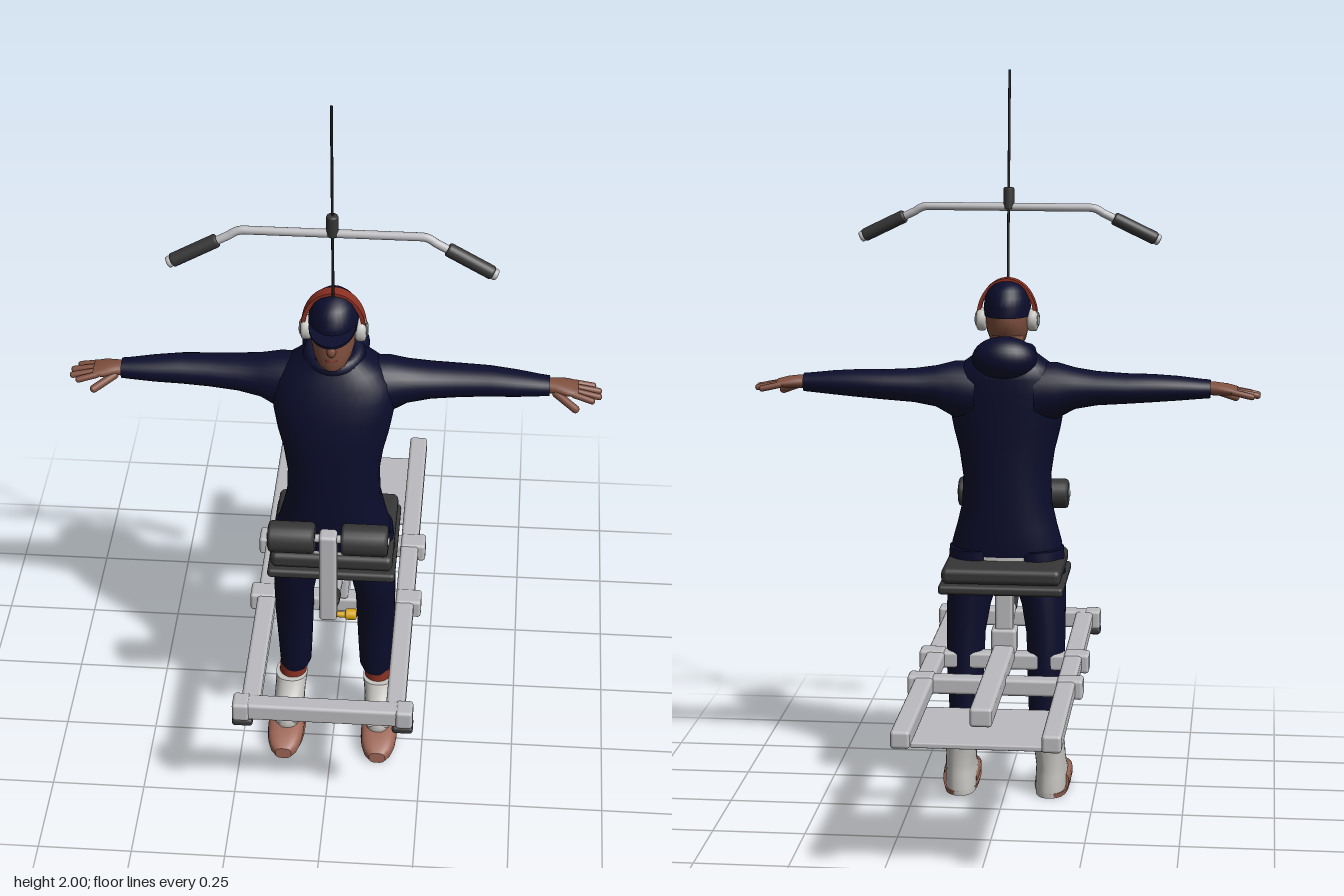
import * as THREE from 'three';
import { RoundedBoxGeometry } from 'three/addons/geometries/RoundedBoxGeometry.js';

const paint = (name, color) => {
  const m = new THREE.MeshStandardMaterial({ color });
  m.name = name;
  return m;
};
const V = (x, y, z) => new THREE.Vector3(x, y, z);

// Skin over elliptical rings along an axis; rows are [t, centre1, radius1, centre2, radius2].
// Rings lie in (x,z) for axis y, (y,z) for axis x and (x,y) for axis z.
function loft(axis, rows, e = 1, n = 28) {
  if (rows[0][0] > rows[rows.length - 1][0]) rows = [...rows].reverse();
  const first = rows[0], last = rows[rows.length - 1];
  const cap = r => [r[0], r[1], 0, r[3], 0];
  const rings = [cap(first), first, ...rows, last, cap(last)];
  const pow = v => Math.sign(v) * Math.abs(v) ** e;
  const pos = [], idx = [];
  rings.forEach(([t, c1, r1, c2, r2], i) => {
    for (let j = 0; j < n; j++) {
      const a = j / n * Math.PI * 2;
      const u = c1 + r1 * pow(Math.cos(a));
      const v = c2 + r2 * pow(Math.sin(a)) * (axis === 'y' ? 1 : -1);
      pos.push(...(axis === 'y' ? [u, t, v] : axis === 'x' ? [t, u, v] : [u, v, t]));
      if (i === 0 || i === 2 || i === rings.length - 2) continue;
    }
  });
  // Rings 1 and 2 (and the last pair) coincide, which keeps the cap edges crisp.
  for (let i = 0; i < rings.length - 1; i++) {
    if (i === 1 || i === rings.length - 3) continue;
    for (let j = 0; j < n; j++) {
      const k = (j + 1) % n, a = i * n + j, b = i * n + k, c = a + n, d = b + n;
      idx.push(a, c, b, b, c, d);
    }
  }
  const g = new THREE.BufferGeometry();
  g.setAttribute('position', new THREE.Float32BufferAttribute(pos, 3));
  g.setIndex(idx);
  g.computeVertexNormals();
  return g;
}

export function createModel() {
  const model = new THREE.Group();
  const metal = paint('light grey metal', 0xbcbcc0), pad = paint('dark padding', 0x363636);
  const navy = paint('navy cloth', 0x0b0d2c), skin = paint('skin', 0x80503f);
  const white = paint('off white', 0xc6c4c0), tan = paint('shoe brown', 0x9c6656);
  const red = paint('red', 0x8c3022), yellow = paint('yellow', 0xd6a312);
  const black = paint('black', 0x1c1c1e);

  const add = (name, geo, mat, p = [0, 0, 0], parent = model) => {
    const m = new THREE.Mesh(geo, mat);
    m.name = name;
    m.position.set(...p);
    parent.add(m);
    return m;
  };
  const box = (name, mat, size, p, r = 0.009) =>
    add(name, new RoundedBoxGeometry(...size, 3, Math.min(r, Math.min(...size) * 0.45)), mat, p);
  // Straight bar between two points, with softened ends
  const rod = (name, mat, a, b, r, soft = r * 0.3) => {
    const h = a.distanceTo(b) / 2;
    const prof = [[0, -h], [r - soft, -h], [r - soft * 0.3, -h + soft * 0.3], [r, -h + soft],
      [r, h - soft], [r - soft * 0.3, h - soft * 0.3], [r - soft, h], [0, h]];
    const m = add(name, new THREE.LatheGeometry(prof.map(q => new THREE.Vector2(...q)), 24), mat);
    m.position.copy(a).add(b).multiplyScalar(0.5);
    m.quaternion.setFromUnitVectors(V(0, 1, 0), b.clone().sub(a).normalize());
    return m;
  };

  // Bench frame
  box('frontCrossbar', metal, [0.45, 0.05, 0.05], [0, 0.39, 0.593]);
  for (const z of [0.13, -0.122]) box('crossbar', metal, [0.42, 0.046, 0.052], [0, 0.39, z]);
  for (const s of [-1, 1]) {
    box('sideRail', metal, [0.05, 0.046, 1.22], [s * 0.19, 0.39, -0.02]);
    box('frontCorner', metal, [0.045, 0.054, 0.058], [s * 0.214, 0.39, 0.593]);
    box('footPad', pad, [0.055, 0.022, 0.052], [s * 0.21, 0.356, 0.595]);
    for (const z of [0.13, -0.122]) box('railSleeve', metal, [0.07, 0.054, 0.062], [s * 0.2, 0.39, z]);
  }
  box('rearPlate', metal, [0.34, 0.014, 0.315], [0, 0.362, -0.422], 0.004);
  box('centreBeam', metal, [0.058, 0.05, 0.64], [0, 0.415, -0.185]);
  box('seatPost', metal, [0.05, 0.2, 0.05], [0, 0.51, 0.125]);
  box('postFoot', metal, [0.07, 0.07, 0.07], [0, 0.45, 0.125]);

  // Seat cushions
  box('seatBase', pad, [0.34, 0.026, 0.325], [0, 0.617, 0.156], 0.01);
  box('seatCushion', pad, [0.325, 0.044, 0.305], [0, 0.653, 0.156], 0.016);

  // Thigh holder
  rod('holderArm', metal, V(0, 0.46, 0.12), V(0, 0.562, 0.4), 0.02);
  rod('holderCollar', pad, V(0, 0.508, 0.25), V(0, 0.53, 0.31), 0.023);
  box('holderPost', metal, [0.046, 0.275, 0.046], [0, 0.685, 0.395]);
  rod('rollerAxle', metal, V(-0.16, 0.805, 0.395), V(0.16, 0.805, 0.395), 0.011);
  for (const s of [-1, 1])
    rod('thighRoller', pad, V(s * 0.034, 0.805, 0.395), V(s * 0.156, 0.805, 0.395), 0.042, 0.01);
  rod('adjusterPin', yellow, V(0.01, 0.555, 0.395), V(0.055, 0.555, 0.395), 0.008);
  rod('adjusterKnob', yellow, V(0.045, 0.557, 0.395), V(0.075, 0.557, 0.395), 0.015);

  // Pull-down bar and cable
  rod('cable', black, V(0, 1.42, 0.217), V(0, 2, 0.262), 0.0035);
  rod('cableCoupling', pad, V(0, 1.625, 0.238), V(0, 1.685, 0.241), 0.015);
  const barPath = new THREE.CurvePath();
  const k = V(0.22, 1.632, 0.238), k2 = V(0.255, 1.618, 0.241), end = V(0.405, 1.545, 0.258);
  const flip = v => V(-v.x, v.y, v.z), bend = V(0.238, 1.632, 0.238);
  barPath.add(new THREE.LineCurve3(flip(end), flip(k2)));
  barPath.add(new THREE.QuadraticBezierCurve3(flip(k2), flip(bend), flip(k)));
  barPath.add(new THREE.LineCurve3(flip(k), k));
  barPath.add(new THREE.QuadraticBezierCurve3(k, bend, k2));
  barPath.add(new THREE.LineCurve3(k2, end));
  add('pullBar', new THREE.TubeGeometry(barPath, 120, 0.011, 14), metal);
  for (const f of [v => v, flip]) {
    rod('barGrip', pad, f(V(0.285, 1.604, 0.244)), f(V(0.4, 1.547, 0.258)), 0.018);
    rod('barEnd', metal, f(V(0.398, 1.548, 0.258)), f(V(0.41, 1.542, 0.259)), 0.015);
  }

  // Torso in hooded top
  const body = rows => rows.map(([y, cz, rz, rx]) => [y, 0, rx, cz, rz]);
  add('hoodedTop', loft('y', body([[0.685, 0.2, 0.098, 0.15], [0.71, 0.2, 0.101, 0.152],
    [0.76, 0.201, 0.104, 0.138], [0.82, 0.202, 0.107, 0.124], [0.9, 0.202, 0.108, 0.121],
    [0.97, 0.202, 0.109, 0.131], [1.03, 0.2, 0.109, 0.146], [1.09, 0.195, 0.108, 0.157],
    [1.14, 0.188, 0.103, 0.162], [1.18, 0.18, 0.097, 0.152], [1.21, 0.175, 0.09, 0.125],
    [1.235, 0.175, 0.078, 0.09], [1.255, 0.18, 0.065, 0.068]]), 0.88, 36), navy);
  add('shirtHem', loft('y', body([[0.668, 0.2, 0.097, 0.148], [0.69, 0.2, 0.097, 0.148]]), 0.88), white);
  const hood = add('hood', new THREE.SphereGeometry(1, 28, 18), navy, [0, 1.235, 0.118]);
  hood.scale.set(0.088, 0.06, 0.066);
  hood.rotation.x = 0.25;
  const collar = add('hoodCollar', new THREE.TorusGeometry(0.06, 0.021, 12, 32), navy, [0, 1.246, 0.183]);
  collar.rotation.x = Math.PI / 2 + 0.25;

  for (const s of [-1, 1]) {
    // Arm and open hand
    const across = rows => rows.map(r => [s * r[0], ...r.slice(1)]);
    add('sleeve', loft('x', across([[0.08, 1.135, 0.085, 0.168, 0.08], [0.14, 1.142, 0.077, 0.163, 0.073],
      [0.19, 1.15, 0.056, 0.158, 0.062], [0.25, 1.152, 0.046, 0.153, 0.056], [0.33, 1.153, 0.041, 0.15, 0.05],
      [0.4, 1.155, 0.038, 0.152, 0.046], [0.47, 1.155, 0.033, 0.157, 0.041],
      [0.53, 1.154, 0.027, 0.16, 0.033], [0.555, 1.154, 0.025, 0.161, 0.03]])), navy);
    add('palm', loft('x', across([[0.54, 1.155, 0.018, 0.161, 0.022], [0.57, 1.155, 0.018, 0.162, 0.027],
      [0.6, 1.153, 0.016, 0.163, 0.036], [0.628, 1.15, 0.011, 0.164, 0.035]])), skin);
    const fingers = [[0.136, 0.675, 0.13], [0.154, 0.69, 0.154], [0.173, 0.69, 0.181], [0.19, 0.672, 0.203]];
    for (const [z0, x1, z1] of fingers)
      rod('finger', skin, V(s * 0.61, 1.151, z0), V(s * x1, 1.137, z1), 0.0085, 0.007);
    rod('thumb', skin, V(s * 0.565, 1.148, 0.178), V(s * 0.63, 1.119, 0.222), 0.0105, 0.008);

    // Leg and high shoe
    const upright = rows => rows.map(([y, cx, rx, cz, rz]) => [y, s * cx, rx, cz, rz]);
    add('trouserLeg', loft('y', upright([[0.172, 0.115, 0.038, 0.146, 0.041], [0.195, 0.111, 0.043, 0.148, 0.046],
      [0.27, 0.111, 0.047, 0.152, 0.05], [0.37, 0.112, 0.052, 0.157, 0.057], [0.46, 0.111, 0.054, 0.17, 0.07],
      [0.54, 0.104, 0.061, 0.181, 0.08], [0.62, 0.09, 0.074, 0.185, 0.085], [0.7, 0.082, 0.076, 0.19, 0.088]])), navy);
    add('sock', loft('y', upright([[0.13, 0.12, 0.037, 0.148, 0.039], [0.18, 0.118, 0.037, 0.147, 0.039]])), red);
    add('shoeUpper', loft('y', upright([[0, 0.125, 0.04, 0.172, 0.07], [0.02, 0.126, 0.043, 0.178, 0.079],
      [0.06, 0.127, 0.044, 0.2, 0.096], [0.08, 0.127, 0.042, 0.185, 0.08], [0.11, 0.125, 0.042, 0.165, 0.06],
      [0.15, 0.122, 0.044, 0.152, 0.05]]), 0.85), white);
    add('shoeToe', loft('z', [[0.165, 0.03, 0.047], [0.22, 0.034, 0.05], [0.27, 0.033, 0.05],
      [0.31, 0.028, 0.046], [0.34, 0.022, 0.036], [0.355, 0.017, 0.022]]
      .map(([z, h, w]) => [z, s * 0.13, w, h, h]), 0.7), tan);
    add('shoeSole', loft('y', upright([[0, 0.128, 0.046, 0.222, 0.118], [0.014, 0.128, 0.05, 0.227, 0.127]]), 0.8), tan);
    rod('shoeStrap', white, V(s * 0.127 - 0.03, 0.068, 0.272), V(s * 0.127 + 0.03, 0.068, 0.272), 0.009);

    // Headphone cup
    rod('headphoneCup', white, V(s * 0.056, 1.33, 0.2), V(s * 0.083, 1.33, 0.2), 0.032, 0.008);
    rod('headphoneCap', metal, V(s * 0.08, 1.33, 0.2), V(s * 0.088, 1.33, 0.2), 0.019);

    // Eye and brow
    box('eye', black, [0.017, 0.006, 0.006], [s * 0.023, 1.334, 0.274], 0.002);
  }

  // Head
  add('neck', loft('y', body([[1.19, 0.18, 0.05, 0.048], [1.3, 0.195, 0.052, 0.046]])), skin);
  add('head', loft('y', body([[1.243, 0.249, 0.022, 0.022], [1.253, 0.241, 0.037, 0.036],
    [1.275, 0.221, 0.06, 0.049], [1.3, 0.207, 0.075, 0.056], [1.335, 0.202, 0.077, 0.059],
    [1.37, 0.202, 0.078, 0.059]])), skin);
  const nose = add('nose', new THREE.SphereGeometry(1, 14, 10), skin, [0, 1.31, 0.281]);
  nose.scale.set(0.012, 0.017, 0.011);
  box('mouth', red, [0.03, 0.007, 0.008], [0, 1.28, 0.277], 0.003);

  // Cap with brim
  add('cap', loft('y', body([[1.342, 0.202, 0.082, 0.063], [1.37, 0.201, 0.083, 0.064],
    [1.395, 0.2, 0.077, 0.06], [1.415, 0.199, 0.063, 0.05], [1.428, 0.198, 0.045, 0.036],
    [1.435, 0.198, 0.022, 0.018], [1.437, 0.198, 0.004, 0.004]])), navy);
  const brimShape = new THREE.Shape();
  brimShape.moveTo(0.06, 0);
  brimShape.absellipse(0, 0, 0.06, 0.095, 0, Math.PI, false);
  const brim = add('capBrim', new THREE.ExtrudeGeometry(brimShape,
    { depth: 0.007, bevelEnabled: false, curveSegments: 24 }), navy, [0, 1.364, 0.236]);
  brim.rotation.x = Math.PI / 2 + 0.08;

  // Headband over the cap
  const band = new THREE.Shape();
  band.absellipse(0, 0, 0.083, 0.108, 0, Math.PI, false);
  band.lineTo(-0.073, 0);
  band.absellipse(0, 0, 0.073, 0.098, Math.PI, 0, true);
  add('headband', new THREE.ExtrudeGeometry(band,
    { depth: 0.034, bevelEnabled: false, curveSegments: 32 }), red, [0, 1.335, 0.184]);

  return model;
}
